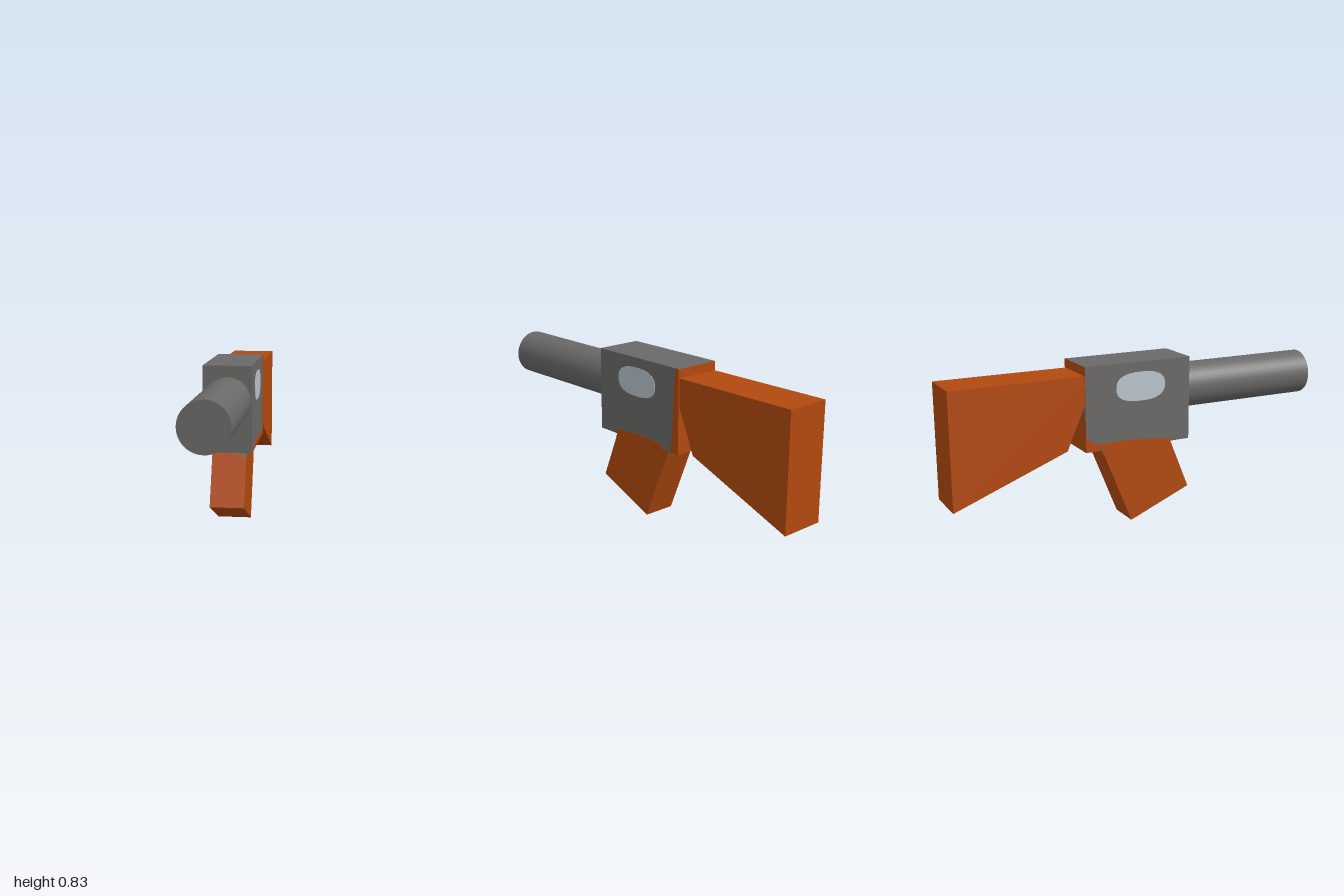
import * as THREE from 'three';

const mat = (name, color) => {
  const m = new THREE.MeshStandardMaterial({ color });
  m.name = name;
  return m;
};

export function createModel() {
  const group = new THREE.Group();
  const steel = mat('steelGrey', 0x6a6968);
  const wood = mat('rustOrange', 0xb2490f);
  const pale = mat('paleBlueGrey', 0xb8c4cc);
  const worn = mat('wornBrown', 0x86603f);

  const add = (name, geometry, material) => {
    const mesh = new THREE.Mesh(geometry, material);
    mesh.name = name;
    group.add(mesh);
    return mesh;
  };
  // Side profile given as [z, y] points, extruded across x and centred on cx
  const slab = (name, points, width, material, cx = 0) => {
    const shape = new THREE.Shape(points.map(([z, y]) => new THREE.Vector2(z, y)));
    const g = new THREE.ExtrudeGeometry(shape, { depth: width, bevelEnabled: false });
    g.translate(0, 0, -width / 2).rotateY(-Math.PI / 2).translate(cx, 0, 0);
    return add(name, g, material);
  };

  // Receiver: grey block with an orange rear face
  const receiver = new THREE.BoxGeometry(0.24, 0.425, 0.575);
  receiver.translate(0, 0.6225, -0.0375);
  add('receiver', receiver, [steel, steel, steel, steel, steel, wood]);

  // Barrel runs through the receiver into the stock
  const barrel = new THREE.CylinderGeometry(0.115, 0.115, 1.4, 48);
  barrel.rotateX(Math.PI / 2).translate(0, 0.665, 0.3);
  add('barrel', barrel, steel);

  // Shoulder stock and tilted grip
  slab('stock', [[-0.27, 0.79], [-1, 0.79], [-1, 0.21], [-0.42, 0.43], [-0.325, 0.65]], 0.23, wood);
  slab('grip', [[0.27, 0.14], [0.1, 0.555], [-0.23, 0.42], [-0.06, 0.005]], 0.17, wood);

  // Painted oval on each side of the receiver
  const oval = [];
  for (let i = 0; i < 40; i++) {
    const a = (i / 40) * Math.PI * 2;
    const bend = (v) => Math.sign(v) * Math.abs(v) ** 0.78;
    oval.push([-0.025 + 0.135 * bend(Math.cos(a)), 0.712 + 0.073 * bend(Math.sin(a))]);
  }
  slab('rightOval', oval, 0.004, pale, 0.12);
  slab('leftOval', oval, 0.004, pale, -0.12);

  // Painted orange edges on the receiver sides
  slab('rearEdgePaint', [[-0.325, 0.835], [-0.3, 0.835], [-0.287, 0.62], [-0.282, 0.48],
    [-0.265, 0.41], [-0.325, 0.41]], 0.003, wood, 0.12);
  slab('rightLowerPaint', [[0.17, 0.41], [0.12, 0.43], [0, 0.444], [-0.12, 0.444],
    [-0.2, 0.435], [-0.23, 0.41]], 0.003, wood, 0.12);
  slab('leftLowerPaint', [[0.18, 0.41], [0.1, 0.43], [-0.1, 0.447], [-0.27, 0.445],
    [-0.325, 0.48], [-0.325, 0.41]], 0.003, wood, -0.12);

  // Worn patches at the top of the grip, front and back
  const patch = (name, corners, z, y) => {
    const g = new THREE.ExtrudeGeometry(
      new THREE.Shape(corners.map(([a, b]) => new THREE.Vector2(a, b))),
      { depth: 0.004, bevelEnabled: false });
    const mesh = add(name, g.translate(0, 0, -0.002), worn);
    mesh.rotation.x = -0.39;
    mesh.position.set(0, y, z);
  };
  patch('frontWornPatch', [[-0.01, 0], [0.085, -0.045], [0.085, 0], [-0.01, 0.01]], 0.16, 0.408);
  patch('backWornPatch', [[-0.085, -0.04], [0.085, -0.04], [0.085, 0], [-0.085, 0]], -0.226, 0.41);

  return group;
}
